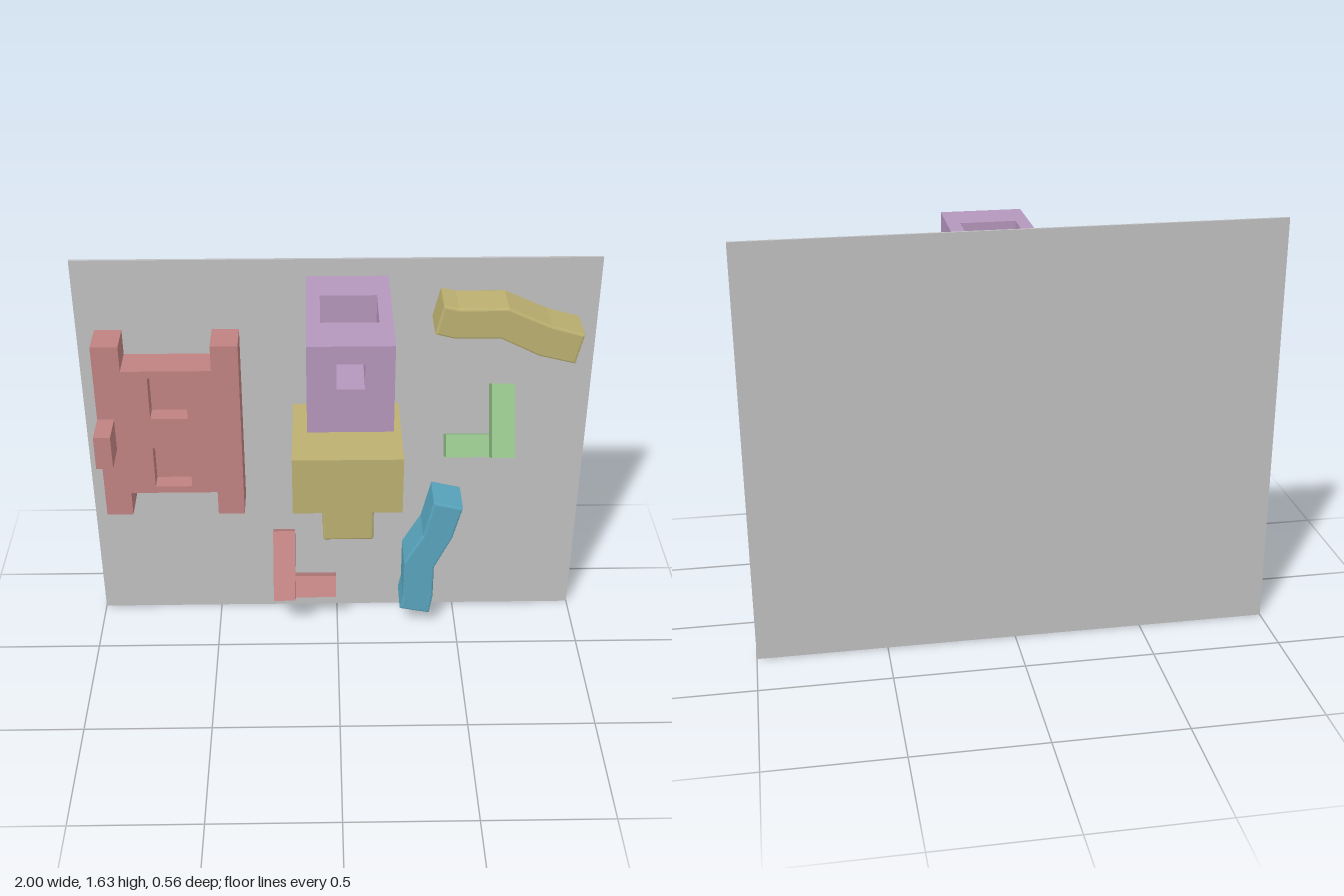
import * as THREE from 'three';
import { RoundedBoxGeometry } from 'three/addons/geometries/RoundedBoxGeometry.js';

const paint = (name, color) => {
  const m = new THREE.MeshStandardMaterial({ color });
  m.name = name;
  return m;
};

// Outline from [x, y] pairs
const outline = (pts) => new THREE.Shape(pts.map(([x, y]) => new THREE.Vector2(x, y)));
const rect = (x0, x1, y0, y1) => outline([[x0, y0], [x1, y0], [x1, y1], [x0, y1]]);

export function createModel() {
  const model = new THREE.Group();
  model.name = 'wallWithHolds';
  const grey = paint('panelGrey', 0xc0c0c0);
  const red = paint('dustyRed', 0xc08282);
  const purple = paint('softPurple', 0xb497bc);
  const yellow = paint('mutedYellow', 0xbcb070);
  const green = paint('paleGreen', 0x94c088);
  const blue = paint('tealBlue', 0x58a4bd);

  const add = (parent, name, geo, mat) => {
    const mesh = new THREE.Mesh(geo, mat);
    mesh.name = name;
    parent.add(mesh);
    return mesh;
  };
  // Box given by its limits on each axis
  const box = (parent, name, mat, x0, x1, y0, y1, z0, z1) =>
    add(parent, name, new THREE.BoxGeometry(x1 - x0, y1 - y0, z1 - z0), mat)
      .position.set((x0 + x1) / 2, (y0 + y1) / 2, (z0 + z1) / 2);
  // Flat outline pushed forward from z0 to z1
  const slab = (parent, name, mat, shape, z0, z1) =>
    add(parent, name, new THREE.ExtrudeGeometry(shape, { depth: z1 - z0, bevelEnabled: false })
      .translate(0, 0, z0), mat);
  // Plan outline (x, -z) raised from y0 to y1
  const storey = (parent, name, mat, shape, y0, y1) =>
    add(parent, name, new THREE.ExtrudeGeometry(shape, { depth: y1 - y0, bevelEnabled: false })
      .rotateX(-Math.PI / 2).translate(0, y0, 0), mat);

  box(model, 'backPanel', grey, -1, 1, 0, 1.635, -0.28, -0.27);

  // H-shaped plate with two blind pockets and a peg
  const plate = new THREE.Group();
  plate.name = 'pocketPlate';
  model.add(plate);
  const plateShape = () => outline([
    [-0.93, 0.58], [-0.825, 0.58], [-0.825, 0.685], [-0.48, 0.685], [-0.48, 0.58], [-0.375, 0.58],
    [-0.375, 1.345], [-0.48, 1.345], [-0.48, 1.24], [-0.825, 1.24], [-0.825, 1.345], [-0.93, 1.345],
  ]);
  slab(plate, 'plateBack', red, plateShape(), -0.27, -0.2);
  const front = plateShape();
  for (const y of [0.715, 1.03]) front.holes.push(rect(-0.725, -0.58, y, y + 0.18));
  slab(plate, 'plateFront', red, front, -0.2, -0.13);
  box(plate, 'platePeg', red, -0.93, -0.865, 0.89, 1.03, -0.13, 0.005);

  // Purple block: open top well reached by a small front tunnel
  const block = new THREE.Group();
  block.name = 'hollowBlock';
  model.add(block);
  box(block, 'blockBase', purple, -0.115, 0.195, 1.22, 1.395, -0.27, 0.285);
  storey(block, 'blockTunnelWalls', purple, outline([
    [-0.115, -0.285], [-0.01, -0.285], [-0.01, -0.107], [-0.065, -0.107], [-0.065, 0.107], [0.145, 0.107],
    [0.145, -0.107], [0.09, -0.107], [0.09, -0.285], [0.195, -0.285], [0.195, 0.27], [-0.115, 0.27],
  ]), 1.395, 1.495);
  const rim = rect(-0.115, 0.195, -0.285, 0.27);
  rim.holes.push(rect(-0.065, 0.145, -0.107, 0.107));
  storey(block, 'blockRim', purple, rim, 1.495, 1.565);

  // Yellow block with a stem underneath
  box(model, 'stemBlock', yellow, -0.175, 0.245, 0.77, 1.01, -0.27, 0.145);
  add(model, 'stem', new RoundedBoxGeometry(0.2, 0.24, 0.2, 2, 0.01), yellow)
    .position.set(0.04, 0.685, -0.06);

  // Bent bars with softened edges
  const bar = (name, mat, pts) => {
    const b = 0.008;
    add(model, name, new THREE.ExtrudeGeometry(outline(pts), {
      depth: 0.165 - 2 * b, bevelThickness: b, bevelSize: b, bevelOffset: -b, bevelSegments: 2,
    }).translate(0, 0, -0.27 + b), mat);
  };
  bar('upperBentBar', yellow, [
    [0.365, 1.4], [0.44, 1.38], [0.61, 1.38], [0.76, 1.305], [0.9, 1.27],
    [0.927, 1.393], [0.8, 1.43], [0.635, 1.505], [0.45, 1.505], [0.393, 1.518],
  ]);
  bar('lowerBentBar', blue, [
    [0.263, 0.098], [0.387, 0.073], [0.4, 0.16], [0.4, 0.31], [0.47, 0.46],
    [0.507, 0.608], [0.388, 0.637], [0.35, 0.475], [0.275, 0.34], [0.275, 0.16],
  ]);

  // Three-way brackets tilted against the panel; side mirrors the foot
  const bracket = (name, mat, x, y, side) => {
    const g = new THREE.Group();
    g.name = name;
    g.position.set(x, y, -0.045);
    g.rotation.x = -Math.PI / 6;
    model.add(g);
    box(g, 'upright', mat, -0.045, 0.045, 0, 0.29, -0.09, 0);
    const [x0, x1] = side < 0 ? [-0.215, 0.045] : [-0.045, 0.215];
    box(g, 'foot', mat, x0, x1, 0, 0.09, -0.208, -0.09);
  };
  bracket('greenBracket', green, 0.645, 0.89, -1);
  bracket('redBracket', red, -0.22, 0.195, 1);

  return model;
}
